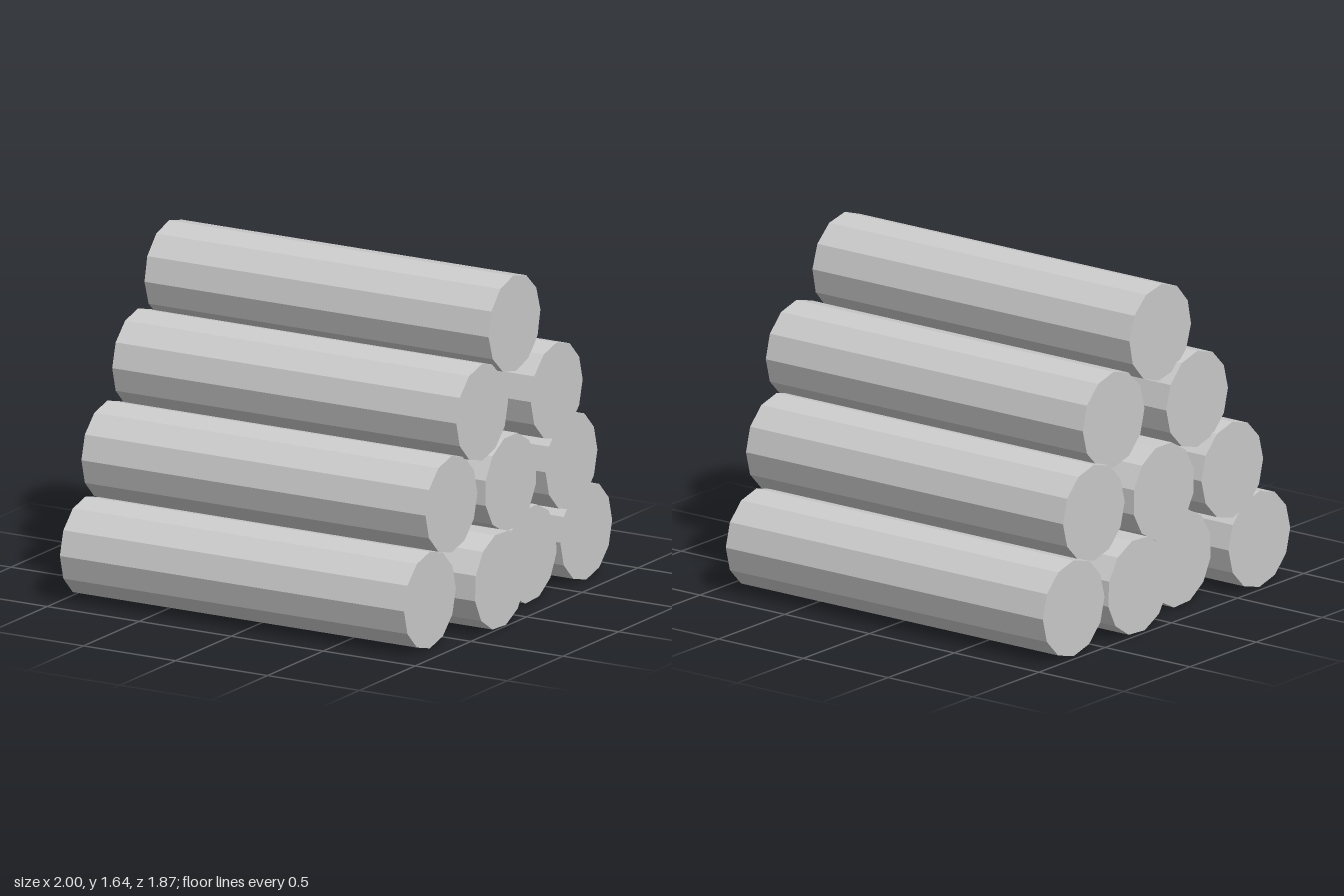
import * as THREE from 'three';

const RADIUS = 0.233;
const LENGTH = 1.87;

// Each row from the ground up: height, then [x, z, roll in degrees] per log
const ROWS = [
  { y: 0.233, logs: [[-0.035, 0.703, 0], [0.065, 0.235, 12], [-0.05, -0.23, 18], [-0.035, -0.7, 0]] },
  { y: 0.633, logs: [[-0.065, 0.46, 0], [-0.027, -0.01, 15], [0.02, -0.477, 0]] },
  { y: 1.027, logs: [[-0.037, 0.23, 0], [0.065, -0.27, 0]] },
  { y: 1.403, logs: [[-0.007, -0.01, 3]] },
];

export function createModel() {
  const group = new THREE.Group();
  group.name = 'logPile';
  const material = new THREE.MeshStandardMaterial({ color: 0xcccccc, flatShading: true });

  // Twelve-sided log lying along x
  const geometry = new THREE.CylinderGeometry(RADIUS, RADIUS, LENGTH, 12);
  geometry.rotateZ(Math.PI / 2);

  // Stack the logs in a pyramid with staggered ends
  ROWS.forEach(({ y, logs }, row) => {
    const rowGroup = new THREE.Group();
    rowGroup.name = `logRow${row + 1}`;
    logs.forEach(([x, z, roll], i) => {
      const log = new THREE.Mesh(geometry, material);
      log.name = `log${row + 1}_${i + 1}`;
      log.position.set(x, y, z);
      log.rotation.x = THREE.MathUtils.degToRad(roll);
      rowGroup.add(log);
    });
    group.add(rowGroup);
  });

  return group;
}
